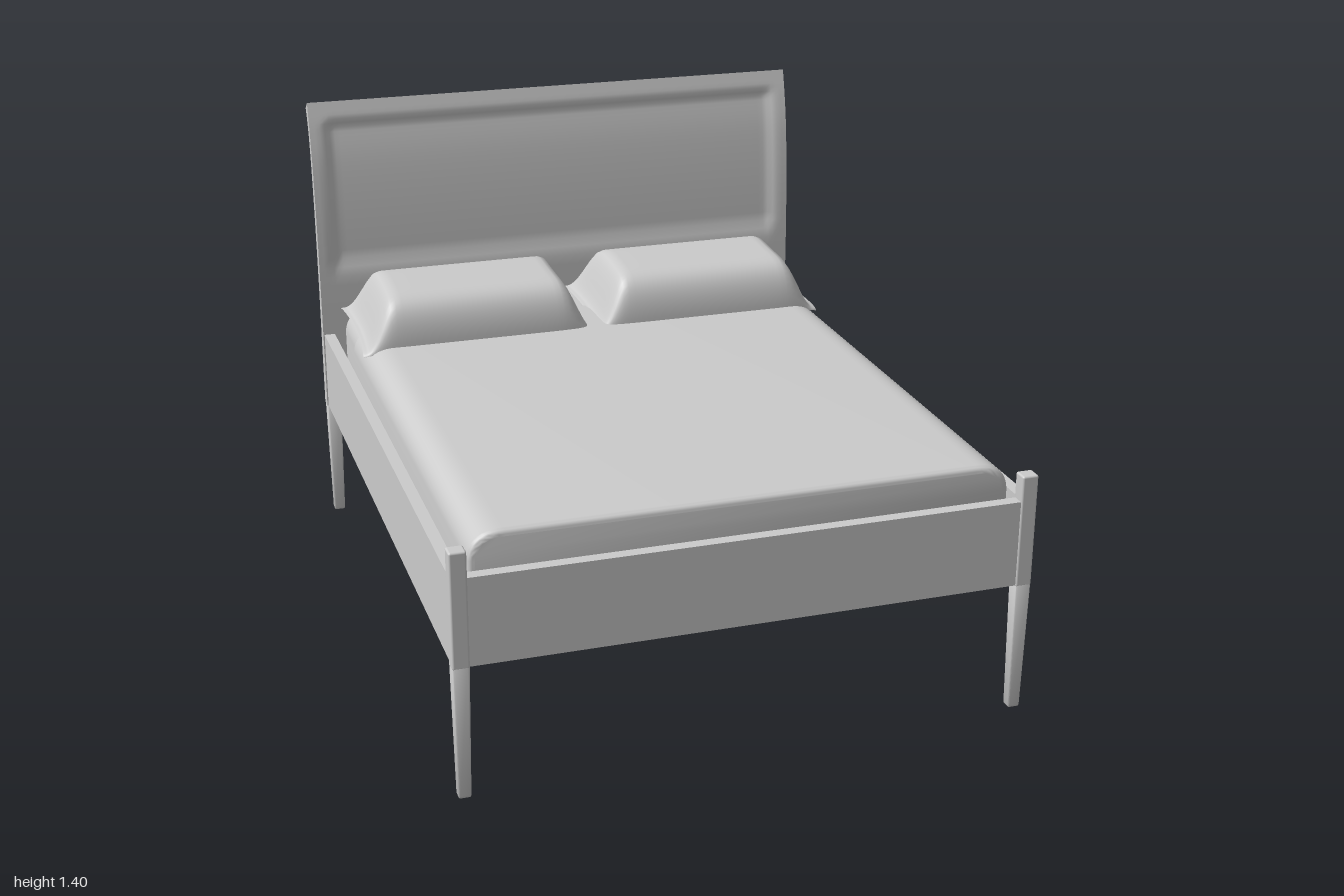
import * as THREE from 'three';
import { toCreasedNormals } from 'three/addons/utils/BufferGeometryUtils.js';
import { RoundedBoxGeometry } from 'three/addons/geometries/RoundedBoxGeometry.js';

const material = new THREE.MeshStandardMaterial({ color: 0xcccccc });
const clothMaterial = new THREE.MeshStandardMaterial({ color: 0xcccccc, side: THREE.DoubleSide });
const { smoothstep } = THREE.MathUtils;

function add(group, name, geometry, x = 0, y = 0, z = 0, mat = material) {
  const mesh = new THREE.Mesh(geometry, mat);
  mesh.name = name;
  mesh.position.set(x, y, z);
  group.add(mesh);
  return mesh;
}

// Applies a rule to every vertex
function deform(geometry, rule) {
  const p = geometry.attributes.position;
  const v = new THREE.Vector3();
  for (let i = 0; i < p.count; i++) {
    v.fromBufferAttribute(p, i);
    rule(v, i);
    p.setXYZ(i, v.x, v.y, v.z);
  }
  geometry.computeVertexNormals();
  return geometry;
}

// Lower leg narrowing towards the floor
function legGeometry() {
  const h = 0.4;
  const g = new RoundedBoxGeometry(0.047, h, 0.044, 3, 0.007);
  return toCreasedNormals(deform(g, (v) => {
    const k = 0.74 + 0.26 * (v.y / h + 0.5);
    v.x *= k;
    v.z *= k;
  }), 0.7);
}

// Curved headboard: side profile swept across the width, front face hollowed
function headboardGeometry() {
  const curve = (pts) => new THREE.SplineCurve(pts.map(([z, y]) => new THREE.Vector2(-z, y))).getPoints(44);
  const front = curve([[-0.895, 0.385], [-0.895, 0.62], [-0.897, 0.85], [-0.905, 1.04],
    [-0.92, 1.2], [-0.94, 1.31], [-0.963, 1.398]]);
  const back = curve([[-0.997, 1.374], [-0.963, 1.285], [-0.941, 1.1], [-0.932, 0.83],
    [-0.936, 0.6], [-0.939, 0.385]]);
  const width = 1.624;
  const g = new THREE.ExtrudeGeometry(new THREE.Shape([...front, ...back]),
    { depth: width, steps: 100, bevelEnabled: false });
  g.rotateY(Math.PI / 2).translate(-width / 2, 0, 0);
  const normal = g.attributes.normal.clone();
  deform(g, (v, i) => {
    if (normal.getZ(i) < 0.7) return;
    const side = 1 - smoothstep(Math.abs(v.x), 0.74, 0.775);
    const rise = smoothstep(v.y, 0.85, 0.875) * (1 - smoothstep(v.y, 1.31, 1.35));
    v.z -= 0.014 * side * rise;
  });
  return toCreasedNormals(g, 0.6);
}

// Soft slab with rounded top shoulders and softened ends
function slabGeometry(halfWidth, bottom, top, radius, z0, z1) {
  const b = 0.018, w = halfWidth - b, t = top - b;
  const s = new THREE.Shape();
  s.moveTo(-w, bottom).lineTo(w, bottom).lineTo(w, t - radius * 0.75);
  s.bezierCurveTo(w - 0.005, t - radius * 0.2, w - radius * 0.4, t, w - radius, t);
  s.lineTo(-w + radius, t);
  s.bezierCurveTo(-w + radius * 0.4, t, -w + 0.005, t - radius * 0.2, -w, t - radius * 0.75);
  const g = new THREE.ExtrudeGeometry(s, {
    depth: z1 - z0 - 2 * b, bevelSize: b, bevelThickness: b, bevelSegments: 5, curveSegments: 10,
  });
  return toCreasedNormals(g.translate(0, 0, z0 + b), 0.8);
}

// Plump pillow with flat, drooping flanges at both sides
function pillowGeometry() {
  const g = new THREE.PlaneGeometry(2, 2, 44, 32).rotateX(-Math.PI / 2);
  return deform(g, (p) => {
    const u = Math.sin(p.x * Math.PI / 2), v = Math.sin(p.z * Math.PI / 2);
    const a = Math.abs(u);
    const body = 1 - smoothstep(a, 0.72, 0.96);
    const roll = Math.sqrt(Math.max(0, 1 - Math.pow(Math.abs(v), v > 0 ? 6 : 3.5)));
    const corner = Math.pow(a, 8);
    p.x = u * (0.378 - 0.012 * (1 - v * v));
    p.z = -0.652 + (v > 0 ? v * (0.207 - 0.018 * corner) : v * (0.195 + 0.035 * corner));
    p.y = 0.728 - 0.012 * v + 0.158 * roll * Math.pow(body, 0.8) + 0.015 * roll * (1 - body)
      - 0.015 * corner;
  });
}

export function createModel() {
  const bed = new THREE.Group();
  bed.name = 'bed';

  // Legs and front corner posts
  const leg = legGeometry();
  for (const s of [-1, 1]) {
    const side = s > 0 ? 'Left' : 'Right';
    add(bed, 'frontLeg' + side, leg, s * 0.788, 0.2, 0.978);
    add(bed, 'backLeg' + side, leg, s * 0.788, 0.2, -0.917);
    add(bed, 'frontPost' + side, new RoundedBoxGeometry(0.047, 0.33, 0.044, 3, 0.006), s * 0.788, 0.545, 0.978);
    // Side rail
    add(bed, 'sideRail' + side, new THREE.BoxGeometry(0.034, 0.25, 1.87), s * 0.791, 0.51, 0.03);
  }

  // Footboard rail, base and headboard
  add(bed, 'frontRail', new THREE.BoxGeometry(1.56, 0.25, 0.034), 0, 0.51, 0.979);
  add(bed, 'base', new THREE.BoxGeometry(1.56, 0.03, 1.87), 0, 0.407, 0.03);
  add(bed, 'headboard', headboardGeometry());

  // Bedding
  add(bed, 'mattress', slabGeometry(0.74, 0.42, 0.718, 0.07, -0.893, 0.93));
  add(bed, 'blanket', slabGeometry(0.752, 0.45, 0.73, 0.08, -0.675, 0.946));
  const pillow = pillowGeometry();
  for (const s of [-1, 1]) {
    add(bed, s > 0 ? 'pillowLeft' : 'pillowRight', pillow, s * 0.377, 0, 0, clothMaterial);
  }
  return bed;
}
